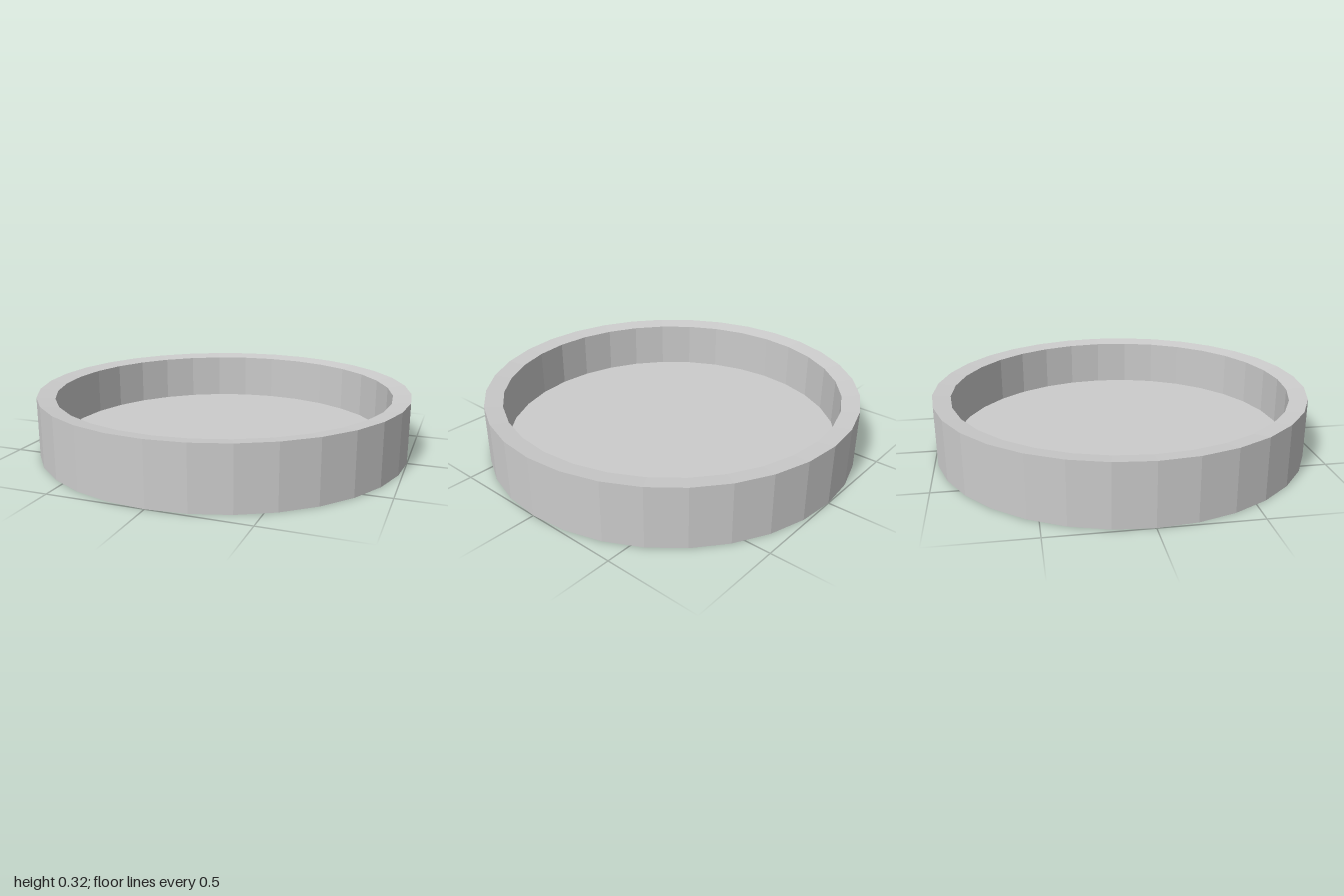
import * as THREE from 'three';

export function createModel() {
  const group = new THREE.Group();
  group.name = 'shallowRoundTray';

  // Profile: underside, outer wall, inward-sloping rim, inner wall, floor
  const profile = [
    [0, 0.01], [0.905, 0.01], [1, 0], [1, 0.32],
    [0.905, 0.308], [0.905, 0.055], [0, 0.055],
  ].map(([r, y]) => new THREE.Vector2(r, y));

  const material = new THREE.MeshStandardMaterial({ color: 0xcccccc, flatShading: true });
  const tray = new THREE.Mesh(new THREE.LatheGeometry(profile, 32), material);
  tray.name = 'tray';
  group.add(tray);

  return group;
}
